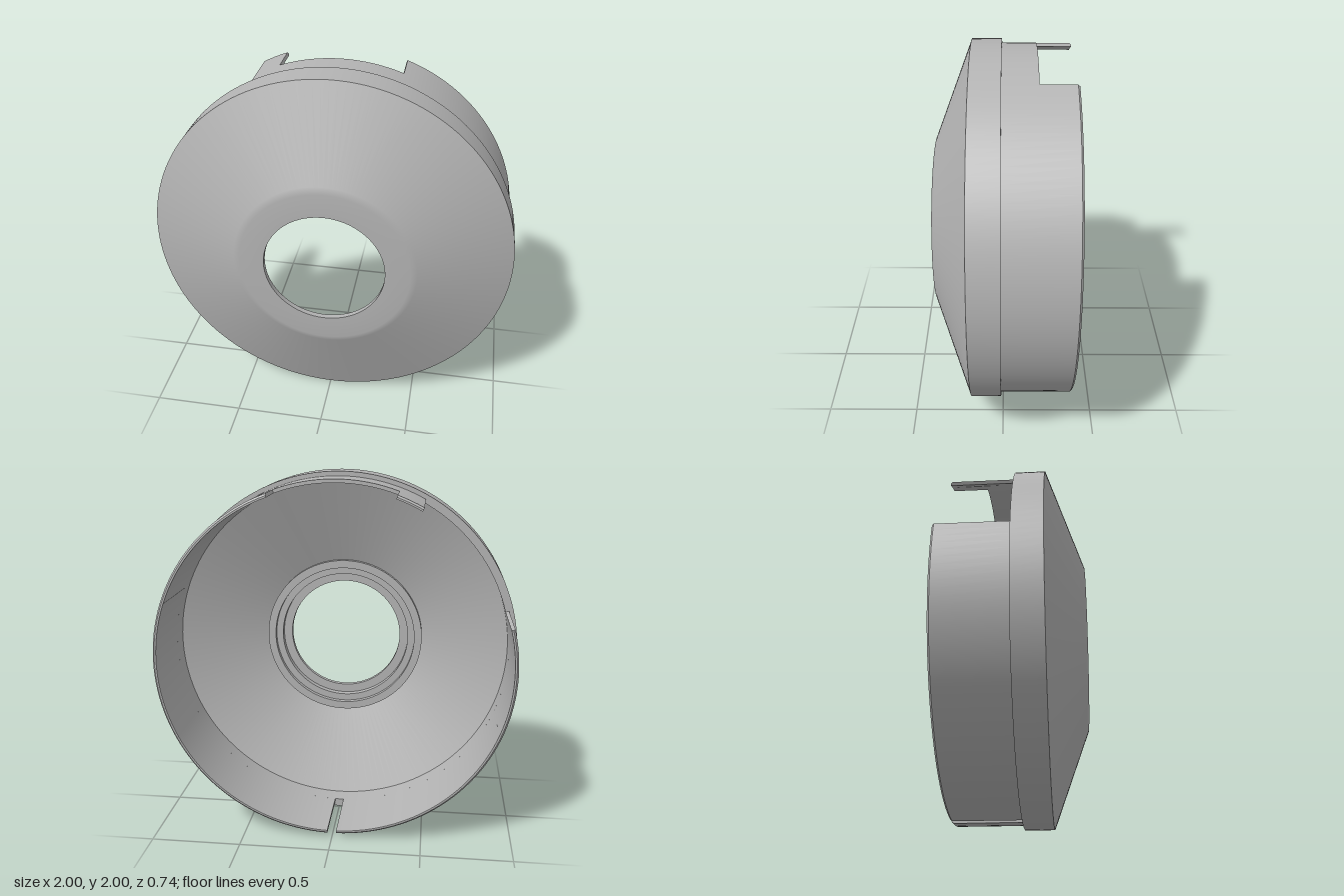
import * as THREE from 'three';
import { mergeGeometries } from 'three/addons/utils/BufferGeometryUtils.js';

const RAD = Math.PI / 180;
const v = ([r, z]) => new THREE.Vector2(r, z);

// Surface of revolution about the z axis; angles run from the bottom (0) towards +x (90).
// Each run of points is smooth; separate runs meet in a sharp edge.
function revolve(runs, from = 0, to = 360) {
  const steps = Math.max(4, Math.ceil((to - from) / 2.5));
  return runs.map((run) =>
    new THREE.LatheGeometry(run.map(v), steps, from * RAD, (to - from) * RAD));
}

// Sharp runs along a list of points
const sharp = (points) => points.slice(1).map((p, i) => [points[i], p]);

// Flat end of a wall sector; flip turns it to face the other way
function endCap(profile, angle, flip) {
  const sign = flip ? -1 : 1;
  const shape = new THREE.Shape(profile.map(([r, z]) => v([sign * r, z])));
  return new THREE.ShapeGeometry(shape).rotateY((angle + (flip ? 90 : -90)) * RAD);
}

function makeMesh(name, parts, material) {
  const geometry = mergeGeometries(parts).rotateX(Math.PI / 2);
  const mesh = new THREE.Mesh(geometry, material);
  mesh.name = name;
  mesh.position.y = 1;
  return mesh;
}

export function createModel() {
  const group = new THREE.Group();
  group.name = 'conicalCap';
  const grey = new THREE.MeshStandardMaterial({ color: 0xb4b4b4 });
  grey.name = 'plainGrey';

  // Rim band with the step behind it
  group.add(makeMesh('rim', revolve(sharp([[0.955, 0.01], [1, 0.01], [1, 0.17]])), grey));

  // Front cone blending softly into the flat around the hole
  group.add(makeMesh('frontCone',
    revolve([[[1, 0.17], [0.5, 0.357], [0.465, 0.37], [0.33, 0.37]]]), grey));

  // Hole with its stepped boss on the inside
  group.add(makeMesh('holeBoss', revolve(sharp([
    [0.33, 0.37], [0.33, 0.34], [0.38, 0.34], [0.38, 0.30], [0.42, 0.30],
    [0.42, 0.27], [0.465, 0.27], [0.465, 0.30],
  ])), grey));

  // Inside of the cone and rim
  group.add(makeMesh('innerShell',
    revolve(sharp([[0.465, 0.30], [0.955, 0.11], [0.955, 0.01]])), grey));

  // Thin rear skirt: slot at the bottom, shallow notch on top, deep gap at upper right
  const sectors = [
    ['skirtLeft', 1.5, 160.1, -0.37],
    ['skirtNotch', 160.1, 199.9, -0.175],
    ['skirtTab', 199.9, 208.5, -0.37],
    ['skirtRight', 255, 358.5, -0.37],
  ];
  for (const [name, from, to, back] of sectors) {
    const chamfer = back < -0.3 ? 0.01 : 0;
    const profile = [[0.955, back], [0.975 - chamfer, back]];
    if (chamfer) profile.push([0.975, back + chamfer]);
    profile.push([0.975, 0.01], [0.955, 0.01]);
    group.add(makeMesh(name, [
      ...revolve(sharp([...profile, profile[0]]), from, to),
      endCap(profile, from, false),
      endCap(profile, to, true),
    ], grey));
  }
  return group;
}
